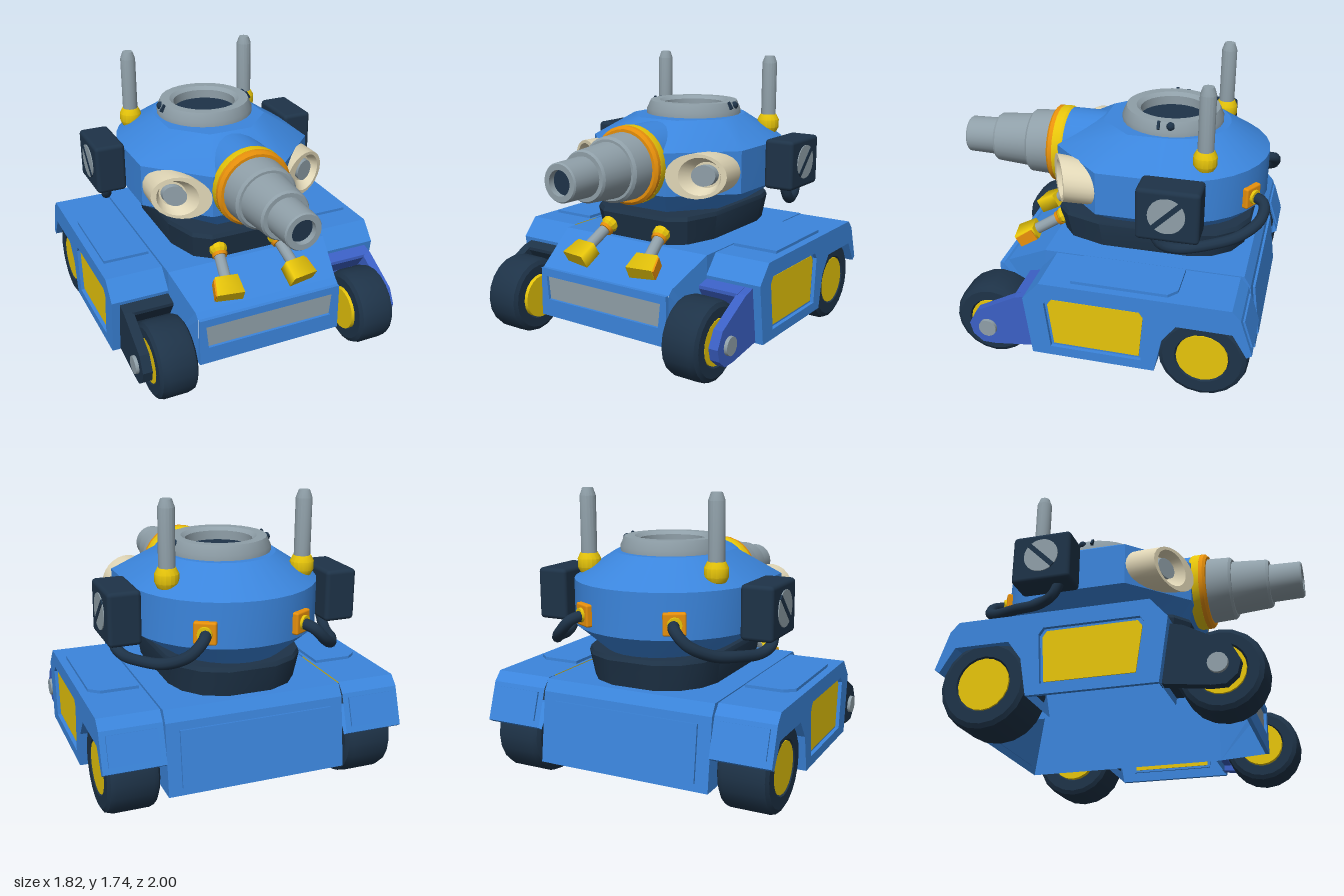
import * as THREE from 'three';
import { toCreasedNormals } from 'three/addons/utils/BufferGeometryUtils.js';
import { RoundedBoxGeometry } from 'three/addons/geometries/RoundedBoxGeometry.js';

const mat = (name, color) => Object.assign(new THREE.MeshStandardMaterial({ color }), { name });
const blue = mat('armour blue', 0x3b85dc), violet = mat('arm blue', 0x3b60c5);
const dark = mat('dark rubber', 0x1e3348), yellow = mat('yellow', 0xe6c40a);
const orange = mat('orange', 0xec930c), grey = mat('steel grey', 0x8f9fa8), cream = mat('cream', 0xe0d6b6);
blue.side = THREE.DoubleSide; // the hull and pods are open shells

const crease = (g, a = 0.5) => toCreasedNormals(g, a);
const shapeOf = pts => new THREE.Shape(pts.map(p => new THREE.Vector2(...p)));

// Side profile of [z, y] points spanning x0..x1, with an optional hole
function prism(pts, x0, x1, hole) {
  const shape = shapeOf(pts);
  if (hole) shape.holes.push(shapeOf(hole));
  return new THREE.ExtrudeGeometry(shape, { depth: x1 - x0, bevelEnabled: false })
    .rotateY(-Math.PI / 2).translate(x1, 0, 0);
}

// Drop the triangles that lie wholly inside one of the given regions
function without(geo, ...regions) {
  const src = geo.attributes.position, out = [];
  for (let i = 0; i < src.count; i += 3) {
    const tri = [0, 1, 2].map(k => new THREE.Vector3().fromBufferAttribute(src, i + k));
    if (!regions.some(inside => tri.every(inside))) tri.forEach(v => out.push(v.x, v.y, v.z));
  }
  const g = new THREE.BufferGeometry();
  g.setAttribute('position', new THREE.Float32BufferAttribute(out, 3));
  g.computeVertexNormals();
  return g;
}
const below = v => v.y < 0.17;

// Skin through equal-length convex rings, closed at both ends
function loft(rings, angle) {
  const n = rings[0].length, pos = rings.flat(2), idx = [];
  for (let r = 0; r < rings.length - 1; r++)
    for (let i = 0; i < n; i++) {
      const a = r * n + i, b = r * n + (i + 1) % n;
      idx.push(a, b, b + n, a, b + n, a + n);
    }
  const top = (rings.length - 1) * n;
  for (let i = 1; i < n - 1; i++) idx.push(0, i + 1, i, top, top + i, top + i + 1);
  const g = new THREE.BufferGeometry();
  g.setAttribute('position', new THREE.Float32BufferAttribute(pos, 3));
  g.setIndex(idx);
  return crease(g, angle);
}

// Turned part from [radius, height] points
const turned = (pts, seg = 24) =>
  crease(new THREE.LatheGeometry(pts.map(p => new THREE.Vector2(...p)), seg));

// Mirror a geometry across x = 0 and restore its winding
function flip(geo) {
  const g = (geo.index ? geo.toNonIndexed() : geo.clone()).scale(-1, 1, 1);
  for (const at of Object.values(g.attributes)) {
    const s = at.itemSize;
    for (let i = 0; i < at.count; i += 3)
      for (let k = 0; k < s; k++) {
        const a = (i + 1) * s + k, b = (i + 2) * s + k;
        [at.array[a], at.array[b]] = [at.array[b], at.array[a]];
      }
  }
  return g;
}

export function createModel() {
  const model = new THREE.Group();
  model.name = 'tank';
  const add = (name, geo, m) => {
    const mesh = new THREE.Mesh(geo, m);
    mesh.name = name;
    model.add(mesh);
  };
  const pair = (name, geo, m, m2 = m) => {
    add(name + 'Left', geo, m);
    add(name + 'Right', flip(geo), m2);
  };
  const box = (w, h, d, r) => new RoundedBoxGeometry(w, h, d, 2, r);

  // Hull shell, open below, with a tapered nose
  add('hull', without(prism([[0.33, 0.16], [0.33, 0.645], [-0.89, 0.645], [-0.93, 0.58], [-0.985, 0.16]], -0.54, 0.54),
    below, v => v.z > 0.32), blue);
  const nose = prism([[0.33, 0.16], [0.635, 0.16], [0.635, 0.47], [0.6, 0.5], [0.33, 0.645]], -0.54, 0.54);
  const np = nose.attributes.position;
  for (let i = 0; i < np.count; i++) if (np.getZ(i) > 0.5) np.setX(i, np.getX(i) * 0.885);
  add('nose', without(nose, below, v => v.z < 0.34, v => v.z > 0.63), blue);
  const frame = shapeOf([[-0.478, 0.16], [0.478, 0.16], [0.475, 0.47], [-0.475, 0.47]]);
  frame.holes.push(shapeOf([[-0.42, 0.27], [-0.435, 0.42], [0.435, 0.42], [0.42, 0.27]]));
  add('noseFrame', new THREE.ExtrudeGeometry(frame, { depth: 0.025, bevelEnabled: false }).translate(0, 0, 0.635), blue);
  add('nosePanel', new THREE.BoxGeometry(0.87, 0.15, 0.008).translate(0, 0.345, 0.638), grey);
  add('rearPanel', new THREE.BoxGeometry(0.92, 0.33, 0.02).rotateX(0.13).translate(0, 0.37, -0.962), blue);

  // Side pods, open below, with a wheel arch and a sunk yellow panel
  const pod = [[0.3, 0.16], [0.35, 0.53], [0.25, 0.645], [-0.87, 0.645], [-0.92, 0.59], [-0.995, 0.37],
    [-0.965, 0.35], [-0.88, 0.49], [-0.56, 0.49], [-0.48, 0.38], [-0.44, 0.16]];
  const panel = [[0.17, 0.235], [0.205, 0.5], [0.18, 0.535], [-0.34, 0.535], [-0.365, 0.5], [-0.345, 0.235]];
  const recess = panel.map(([z, y]) => [-0.085 + (z + 0.085) * 1.06, 0.385 + (y - 0.385) * 1.1]);
  pair('pod', without(prism(pod, 0.55, 0.885), below, v => v.x < 0.56, v => v.x > 0.88), blue);
  pair('podSkin', prism(pod, 0.885, 0.91, recess), blue);
  pair('podRecess', prism(recess, 0.872, 0.886), blue);
  pair('podPanel', prism(panel, 0.868, 0.892), yellow);
  const plate = shapeOf([[0.57, -0.07], [0.86, -0.07], [0.86, 0.5], [0.8, 0.55], [0.57, 0.55]]);
  pair('podTopPlate', new THREE.ExtrudeGeometry(plate, { depth: 0.02, bevelEnabled: false })
    .rotateX(-Math.PI / 2).translate(0, 0.643, 0), blue);
  pair('podRearPlate', new THREE.BoxGeometry(0.29, 0.17, 0.02).rotateX(0.32).translate(0.73, 0.485, -0.957), blue);

  // Wheels, hubs and front swing arms
  const wheel = (r, w, x, y, z) => {
    const h = w / 2, place = g => g.rotateZ(-Math.PI / 2).translate(x, y, z);
    const q = r * 0.57;
    pair('tyre', place(turned([[0, -h + 0.02], [q, -h + 0.02], [q + 0.01, -h], [r - 0.035, -h], [r - 0.01, -h + 0.015],
      [r, -h + 0.045], [r, h - 0.045], [r - 0.01, h - 0.015], [r - 0.035, h], [q + 0.01, h], [q, h - 0.02], [0, h - 0.02]], 20)), dark);
    pair('hub', place(new THREE.CylinderGeometry(q, q, w + 0.01, 20).translate(0, -0.01, 0)), yellow);
  };
  wheel(0.24, 0.24, 0.67, 0.25, 0.6);
  wheel(0.265, 0.3, 0.725, 0.272, -0.71);
  pair('swingArm', prism([[0.29, 0.17], [0.56, 0.135], [0.64, 0.135], [0.7, 0.185], [0.72, 0.26], [0.67, 0.355],
    [0.42, 0.49], [0.32, 0.515]], 0.8, 0.86), violet, dark);
  pair('armBlock', prism([[0.28, 0.2], [0.35, 0.2], [0.37, 0.38], [0.43, 0.47], [0.43, 0.49], [0.32, 0.515]], 0.55, 0.81), violet, dark);
  pair('axleCap', new THREE.CylinderGeometry(0.055, 0.062, 0.1, 16).rotateZ(-Math.PI / 2).translate(0.83, 0.25, 0.6), grey);

  // Dark turret collar
  const half = [[0.41, 0.02], [0.41, -0.55], [0.37, -0.69], [0.28, -0.8], [0.14, -0.865]];
  const collarRing = (y, k) => [...half, ...half.slice().reverse().map(([x, z]) => [-x, z]), [-0.34, 0.24], [-0.24, 0.32],
    [0.24, 0.32], [0.34, 0.24]].map(([x, z]) => [x * k, y, -0.28 + (z + 0.28) * k]);
  add('collar', loft([collarRing(0.64, 0.95), collarRing(0.8, 1.01), collarRing(0.825, 0.99)], 0.5), dark);

  // Turret: round back, straight sides, wedge front
  const plan = [[0.57, 0]];
  for (let i = 0; i <= 16; i++) {
    const a = i / 16 * Math.PI;
    plan.push([0.57 * Math.cos(a), -0.37 - 0.57 * Math.sin(a)]);
  }
  plan.push([-0.57, 0], [-0.24, 0.33], [0.24, 0.33]);
  const level = (y, kx, kz) => plan.map(([x, z]) => [x * kx, y, -0.33 + (z + 0.33) * kz]);
  add('turret', loft([level(0.82, 0.64, 0.8), level(0.955, 1, 1), level(1.22, 1, 1), level(1.375, 0.58, 0.6)], 0.5), blue);

  // Open hatch ring on the roof
  add('hatchRing', turned([[0.31, 1.36], [0.31, 1.405], [0.285, 1.46], [0.225, 1.46], [0.2, 1.44], [0.2, 1.37]], 28).translate(0, 0, -0.34), grey);
  add('hatchWell', new THREE.CylinderGeometry(0.205, 0.205, 0.02, 28).translate(0, 1.375, -0.34), dark);
  pair('hatchKnob', new THREE.SphereGeometry(0.026, 10, 8).translate(0.287, 1.435, -0.38), dark);
  pair('hatchClip', new THREE.BoxGeometry(0.05, 0.05, 0.016).rotateZ(-1).translate(0.285, 1.432, -0.31), dark);

  // Stepped gun with mantlet and rings
  const gun = g => g.rotateX(Math.PI / 2).translate(0, 1.13, 0);
  add('mantlet', gun(new THREE.CylinderGeometry(0.235, 0.235, 0.32, 28).translate(0, 0.16, 0)), blue);
  add('gunRing', gun(turned([[0, 0.31], [0.235, 0.31], [0.243, 0.325], [0.243, 0.375], [0, 0.375]], 28)), yellow);
  add('gunRingFront', gun(turned([[0.242, 0.37], [0.242, 0.4], [0.225, 0.415], [0, 0.415]], 28)), orange);
  add('barrel', gun(turned([[0.208, 0.4], [0.2, 0.555], [0.185, 0.57], [0.17, 0.57], [0.155, 0.785], [0.145, 0.8],
    [0.12, 0.8], [0.115, 0.99], [0.108, 1], [0.075, 1], [0.075, 0.95]], 28)), grey);
  add('bore', gun(new THREE.CylinderGeometry(0.076, 0.076, 0.02, 24).translate(0, 0.95, 0)), dark);

  // Swept cream headlamps
  const slant = x => 0.34 - (x - 0.27) * 0.5;
  const oval = (cx, rx, ry, zOf) => Array.from({ length: 24 }, (_, i) => {
    const a = i / 24 * Math.PI * 2, x = cx + rx * Math.cos(a);
    return [x, 1.09 + ry * Math.sin(a), zOf(x)];
  });
  pair('headlamp', loft([oval(0.455, 0.105, 0.1, () => -0.02), oval(0.43, 0.143, 0.13, () => 0.03),
    oval(0.415, 0.165, 0.137, slant), oval(0.435, 0.115, 0.115, slant), oval(0.44, 0.075, 0.08, x => slant(x) - 0.07)], 0.6), cream);
  pair('lamp', loft([oval(0.44, 0.065, 0.065, x => slant(x) - 0.08), oval(0.44, 0.065, 0.065, x => slant(x) - 0.03)]), grey);

  // Side equipment boxes with slotted discs
  pair('sideBox', box(0.195, 0.315, 0.365, 0.025).translate(0.668, 1.097, -0.463), dark);
  pair('boxDisc', new THREE.CylinderGeometry(0.107, 0.107, 0.01, 24).rotateZ(-Math.PI / 2).translate(0.766, 1.105, -0.46), grey);
  pair('discSlot', new THREE.BoxGeometry(0.008, 0.215, 0.03).rotateX(-Math.PI / 4).translate(0.77, 1.105, -0.46), dark);

  // Hoses and their rear sockets
  const hose = new THREE.CatmullRomCurve3([[0.67, 0.97, -0.37], [0.675, 0.88, -0.41], [0.65, 0.845, -0.5], [0.59, 0.86, -0.68],
    [0.5, 0.89, -0.84], [0.4, 0.96, -0.945], [0.33, 1.03, -0.95], [0.28, 1.05, -0.87]].map(p => new THREE.Vector3(...p)));
  pair('hose', new THREE.TubeGeometry(hose, 40, 0.033, 10), dark);
  const socket = g => g.rotateY(-0.53).translate(0.285, 1.05, -0.868);
  pair('socketPlate', socket(box(0.13, 0.13, 0.05, 0.012)), orange);
  pair('socketRing', socket(new THREE.CylinderGeometry(0.042, 0.05, 0.08, 12).rotateX(-Math.PI / 2)), yellow);

  // Antennas
  pair('antennaBase', turned([[0, 1.22], [0.055, 1.25], [0.07, 1.28], [0.07, 1.33], [0.052, 1.365], [0, 1.365]], 16).translate(0.415, 0, -0.61), yellow);
  pair('antenna', turned([[0.048, 1.34], [0.048, 1.7], [0.032, 1.745], [0, 1.745]], 16).translate(0.415, 0, -0.61), grey);

  // Front struts between nose and collar
  const lean = (g, x, y, z) => g.rotateX(-1.02).rotateY(0.16).translate(x, y, z);
  const foot = new THREE.CylinderGeometry(0.1, 0.12, 0.13, 4, 1).rotateY(Math.PI / 4).scale(1, 1, 0.65);
  pair('strutFoot', lean(foot.toNonIndexed(), 0.24, 0.572, 0.54), yellow);
  pair('strutFootSide', lean(new THREE.BoxGeometry(0.024, 0.115, 0.085).rotateZ(0.1).translate(0.076, -0.005, 0), 0.24, 0.572, 0.54), orange);
  pair('strutRod', lean(new THREE.CylinderGeometry(0.036, 0.036, 0.24, 12), 0.215, 0.665, 0.395), grey);
  pair('strutCap', lean(turned([[0, -0.03], [0.04, -0.03], [0.055, -0.01], [0.055, 0.02], [0.035, 0.045], [0, 0.045]], 10), 0.2, 0.715, 0.315), yellow);
  pair('strutCollar', lean(new THREE.CylinderGeometry(0.05, 0.045, 0.02, 10), 0.204, 0.692, 0.348), orange);
  return model;
}
